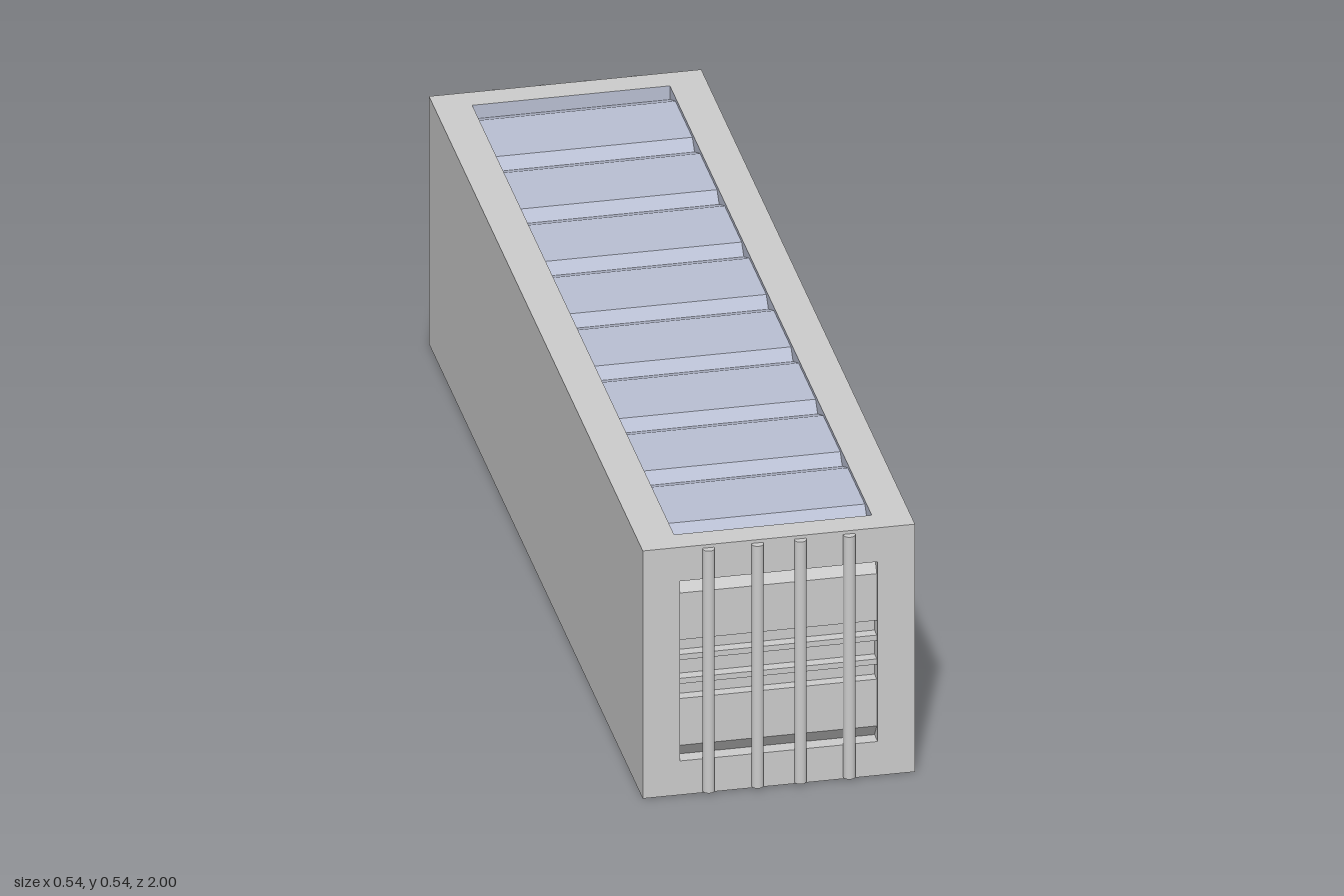
import * as THREE from 'three';

const W = 0.27, H = 0.54, L = 0.985;      // half width, height, half length
const HOLE = 0.196;                        // half width of every panel opening
const OUT = 0.008, DEEP = 0.03;            // how far ribs and grooves sit behind the frame

const grey = new THREE.MeshStandardMaterial({ color: 0xcccccc, side: THREE.DoubleSide });
const bluish = new THREE.MeshStandardMaterial({ color: 0xb9bfd2, side: THREE.DoubleSide });

function add(group, name, geometry, material) {
  const mesh = new THREE.Mesh(geometry, material);
  mesh.name = name;
  group.add(mesh);
  return mesh;
}

// Flat frame with a recessed corrugated sheet. The profile lists [u, depth];
// the sheet runs along v, and the wall faces local +z.
function corrugatedWall(name, halfU, halfV, profile, material) {
  const group = new THREE.Group();
  group.name = name;
  const u0 = profile[0][0], u1 = profile[profile.length - 1][0];
  const section = [[u0, 0], ...profile, [u1, 0]];

  const rect = (a, b, c, d) => [[a, c], [b, c], [b, d], [a, d]].map(p => new THREE.Vector2(...p));
  const frame = new THREE.Shape(rect(-halfU, halfU, -halfV, halfV));
  frame.holes.push(new THREE.Path(rect(u0, u1, -HOLE, HOLE).reverse()));
  add(group, 'frame', new THREE.ShapeGeometry(frame), grey);

  // Sheet, including the rims at both ends of the profile
  const grid = new THREE.PlaneGeometry(1, 1, section.length - 1, 1);
  const pos = grid.attributes.position;
  for (let i = 0; i < pos.count; i++) {
    const [u, depth] = section[i % section.length];
    pos.setXYZ(i, u, i < section.length ? HOLE : -HOLE, -depth);
  }
  const sheet = grid.toNonIndexed();
  sheet.computeVertexNormals();
  add(group, 'corrugatedSheet', sheet, material);

  // Rims along the two long edges follow the corrugation
  const rim = new THREE.Shape(section.map(([u, d]) => new THREE.Vector2(u, -d)));
  for (const s of [-1, 1]) {
    add(group, 'openingRim', new THREE.ShapeGeometry(rim).rotateX(Math.PI / 2).translate(0, s * HOLE, 0), material);
  }
  return group;
}

function place(wall, u, v, normal, position) {
  wall.quaternion.setFromRotationMatrix(new THREE.Matrix4().makeBasis(u, v, normal));
  wall.position.set(...position);
  return wall;
}

export function createModel() {
  const model = new THREE.Group();
  model.name = 'shippingContainer';
  const X = new THREE.Vector3(1, 0, 0), Y = new THREE.Vector3(0, 1, 0), Z = new THREE.Vector3(0, 0, 1);

  // Eight asymmetric ribs for the side and roof
  const ribs = [];
  for (let i = 0; i < 8; i++) {
    const u = -0.93 + i * 0.227;
    ribs.push([u, DEEP], [u + 0.05, OUT], [u + 0.207, OUT]);
  }
  ribs.push([0.886, DEEP], [0.93, DEEP]);

  // Door section: two broad plates and a central channel with two thin ridges
  const half = [[0.196, DEEP], [0.166, OUT], [0.064, OUT], [0.064, DEEP],
    [0.032, DEEP], [0.032, OUT], [0.02, OUT], [0.02, DEEP]];
  const doors = [...half.map(([u, d]) => [-u, d]), ...half.reverse()];

  model.add(
    place(corrugatedWall('ribbedSide', L, W, ribs, bluish), Z.clone().negate(), Y, X, [W, H / 2, 0]),
    place(corrugatedWall('roof', L, W, ribs, bluish), Z, X, Y, [0, H, 0]),
    place(corrugatedWall('frontDoors', W, W, doors, grey), Y, X.clone().negate(), Z, [0, H / 2, L]),
    place(corrugatedWall('backDoors', W, W, doors, grey), Y, X, Z.clone().negate(), [0, H / 2, -L]),
  );

  // Plain side; the underside stays open
  add(model, 'plainSide', new THREE.PlaneGeometry(2 * L, H).rotateY(-Math.PI / 2), grey)
    .position.set(-W, H / 2, 0);

  // Locking bars on both ends
  const bar = new THREE.CylinderGeometry(0.012, 0.012, 0.528, 16);
  for (const end of [-1, 1]) {
    for (const x of [-0.14, -0.043, 0.042, 0.139]) {
      add(model, 'lockingBar', bar, grey).position.set(x, 0.269, end * 0.988);
    }
  }
  return model;
}
